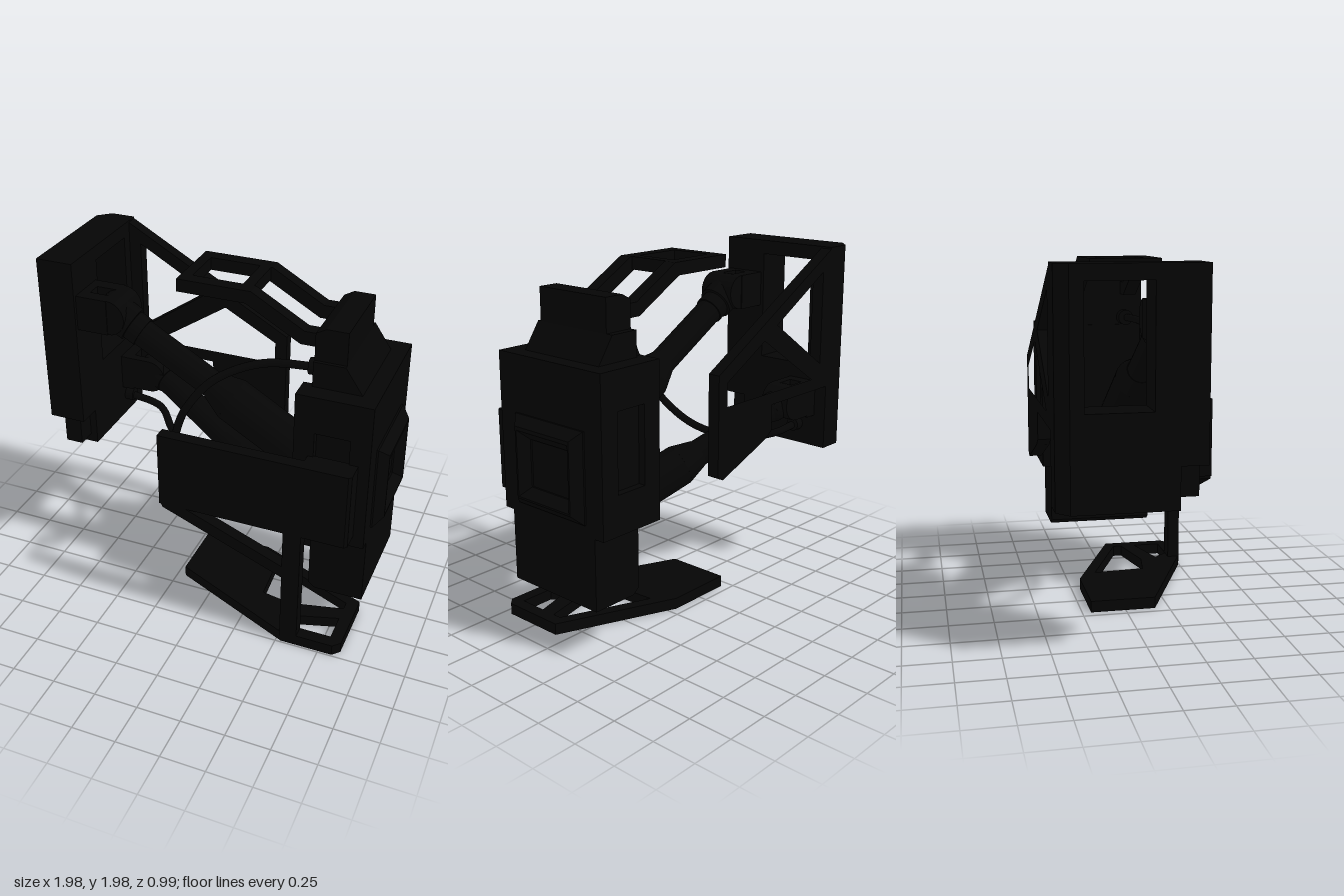
import * as THREE from 'three';

export function createModel() {
  const model = new THREE.Group();
  const black = new THREE.MeshStandardMaterial({ color: 0x050505 });
  black.name = 'matt black';

  const add = (name, geometry) => {
    const mesh = new THREE.Mesh(geometry, black);
    mesh.name = name;
    model.add(mesh);
    return mesh;
  };
  // Box given by its limits on each axis
  const box = (name, x0, x1, y0, y1, z0, z1) =>
    add(name, new THREE.BoxGeometry(x1 - x0, y1 - y0, z1 - z0)
      .translate((x0 + x1) / 2, (y0 + y1) / 2, (z0 + z1) / 2));
  const outline = (points, holes = []) => {
    const shape = new THREE.Shape(points.map(p => new THREE.Vector2(...p)));
    for (const h of holes) shape.holes.push(new THREE.Path(h.map(p => new THREE.Vector2(...p))));
    return shape;
  };
  // Upright plate: outline in x and y, thickness along z
  const plate = (name, points, z0, z1, holes) =>
    add(name, new THREE.ExtrudeGeometry(outline(points, holes), { depth: z1 - z0, bevelEnabled: false })
      .translate(0, 0, z0));
  // Flat plate: outline in x and z, thickness along y
  const flat = (name, points, y0, y1, holes = []) => {
    const turn = list => list.map(([x, z]) => [x, -z]);
    return add(name, new THREE.ExtrudeGeometry(outline(turn(points), holes.map(turn)),
      { depth: y1 - y0, bevelEnabled: false }).rotateX(-Math.PI / 2).translate(0, y0, 0));
  };
  // Cylinder from one point to another
  const rod = (name, a, b, r0, r1 = r0) => {
    const from = new THREE.Vector3(...a), to = new THREE.Vector3(...b);
    const dir = to.clone().sub(from);
    const mesh = add(name, new THREE.CylinderGeometry(r1, r0, dir.length(), 24));
    mesh.quaternion.setFromUnitVectors(new THREE.Vector3(0, 1, 0), dir.normalize());
    mesh.position.copy(from).add(to).multiplyScalar(0.5);
    return mesh;
  };
  const ball = (name, p, r) => add(name, new THREE.SphereGeometry(r, 24, 16).translate(...p));
  const rect = (x0, x1, y0, y1) => [[x0, y0], [x1, y0], [x1, y1], [x0, y1]];

  // Mounting bracket with an open slot
  box('bracketFrontColumn', -0.99, -0.78, 1.03, 2, -0.02, 0.25);
  box('bracketTopBar', -0.99, -0.78, 1.92, 2, -0.36, -0.02);
  box('bracketMiddle', -0.99, -0.78, 1.03, 1.3, -0.36, -0.02);
  box('bracketFoot', -0.99, -0.78, 0.81, 1.05, -0.36, 0.11);
  box('bracketSocket', -0.92, -0.82, 0.86, 1.05, 0.11, 0.22);
  flat('bracketBackColumn',
    [[-0.99, -0.36], [-0.78, -0.36], [-0.78, -0.495], [-0.92, -0.495], [-0.99, -0.43]], 0.81, 2);

  // Rear truss plate
  plate('rearTruss',
    [[-0.78, 1.99], [0.2, 1.44], [0.2, 0.88], [0.16, 0.86], [-0.2, 1.0], [-0.26, 1.04], [-0.26, 1.19], [-0.78, 1.19]],
    -0.495, -0.425,
    [[[-0.71, 1.87], [-0.71, 1.34], [-0.29, 1.63]],
      [[-0.63, 1.26], [-0.18, 1.56], [0.13, 1.39], [0.13, 1.26]]]);

  // Upper telescopic arm, straight along the front, on a forked mount
  for (const z of [0, 0.155])
    box('upperArmFork', -0.8, -0.6, 1.61, 1.81, z, z + 0.075);
  box('upperArmMount', -0.8, -0.73, 1.61, 1.81, 0, 0.23);
  rod('upperArmPin', [-0.6, 1.71, 0.005], [-0.6, 1.71, 0.225], 0.1);
  rod('upperArmKnuckle', [-0.62, 1.715, 0.12], [-0.5, 1.645, 0.12], 0.1);
  rod('upperArmPiston', [-0.55, 1.67, 0.12], [0.15, 1.265, 0.12], 0.077);
  rod('upperArmRing', [-0.5, 1.643, 0.12], [-0.44, 1.608, 0.12], 0.085);
  rod('upperArmTaper', [-0.03, 1.37, 0.12], [0.08, 1.305, 0.12], 0.08, 0.125);
  rod('upperArmSleeve', [0.08, 1.305, 0.12], [0.6, 1.0, 0.12], 0.125);

  // Lower telescopic arm, slanting from the rear of the bracket to the middle
  box('lowerArmMount', -0.8, -0.71, 1.0, 1.21, -0.42, -0.24);
  for (const z of [-0.42, -0.29])
    box('lowerArmFork', -0.74, -0.6, 1.01, 1.21, z, z + 0.05);
  rod('lowerArmPin', [-0.6, 1.11, -0.42], [-0.6, 1.11, -0.24], 0.1);
  ball('lowerArmBall', [-0.52, 1.085, -0.31], 0.085);
  rod('lowerArmKnuckle', [-0.61, 1.12, -0.34], [-0.5, 1.08, -0.3], 0.085);
  rod('lowerArmPiston', [-0.5, 1.08, -0.3], [0.1, 0.81, -0.08], 0.077);
  rod('lowerArmTaper', [-0.05, 0.878, -0.135], [0.06, 0.828, -0.095], 0.08, 0.118);
  rod('lowerArmSleeve', [0.06, 0.828, -0.095], [0.46, 0.645, 0.052], 0.118);
  rod('lowerArmCollar', [0.42, 0.66, 0.037], [0.57, 0.592, 0.092], 0.132);

  // Main housing: recessed side walls around a core
  box('housingCore', 0.57, 0.93, 0.71, 1.57, -0.33, 0.33);
  for (const s of [-1, 1]) {
    const [z0, z1] = s < 0 ? [-0.372, -0.33] : [0.33, 0.372];
    plate('housingSideFrame', rect(0.52, 0.93, 0.71, 1.57), z0, z1, [rect(0.63, 0.82, 0.93, 1.36)]);
    box('housingFlange', 0.52, 0.57, 0.71, 1.57, s < 0 ? -0.34 : 0.24, s < 0 ? -0.24 : 0.34);
  }
  plate('lowerHousing', [[0.66, 0.31], [0.93, 0.31], [0.93, 0.71], [0.62, 0.71], [0.62, 0.34]], -0.31, 0.31);
  box('armJointBlock', 0.5, 0.64, 0.5, 0.78, -0.06, 0.2);

  // Bevelled end frame with a square recess
  const endFrame = outline(rect(-0.25, 0.25, 0.77, 1.26), [rect(-0.14, 0.14, 0.88, 1.14)]);
  add('endFrame', new THREE.ExtrudeGeometry(endFrame, {
    depth: 0.01, bevelThickness: 0.05, bevelSize: 0.05, bevelOffset: -0.05, bevelSegments: 1,
  }).rotateY(Math.PI / 2).translate(0.93, 0, 0));

  // Shoulder and turret on top
  plate('shoulder', [[0.575, 1.57], [0.84, 1.57], [0.745, 1.71], [0.575, 1.71]], -0.27, 0.27);
  plate('turret', [[0.575, 1.71], [0.745, 1.71], [0.745, 1.89], [0.63, 1.89], [0.575, 1.86]], -0.23, 0.25);

  // Top loop handle
  for (const z of [-0.2, 0.12])
    plate('handleArm', [[-0.2, 1.925], [0.18, 1.925], [0.48, 1.755], [0.6, 1.755], [0.6, 1.83],
      [0.5, 1.83], [0.21, 1.995], [-0.2, 1.995]], z, z + 0.075);
  box('handleFrontBar', -0.2, -0.14, 1.925, 1.995, -0.13, 0.12);
  box('handleRearBar', 0.14, 0.2, 1.925, 1.995, -0.13, 0.12);

  // Side shield, its return to the housing, the brace below it and the support post
  flat('sideShield', [[-0.2, 0.42], [0.6, 0.42], [0.6, 0.36], [0.87, 0.36], [0.87, 0.475],
    [0.855, 0.49], [-0.2, 0.49]], 0.78, 1.22);
  plate('shieldBrace', [[-0.2, 0.8], [-0.18, 0.76], [0.53, 0.475], [0.53, 0.55], [-0.04, 0.78], [-0.04, 0.8]],
    0.42, 0.49);
  box('supportPost', 0.52, 0.62, 0.05, 0.8, 0.42, 0.49);

  // Footplate with two openings beside a slanting strut
  flat('footplate', [[-0.2, -0.2], [-0.2, 0.17], [0.53, 0.49], [0.83, 0.49], [0.87, 0.45], [0.87, 0.08], [0.2, -0.2]],
    0.02, 0.085,
    [[[0.3, -0.09], [0.32, 0.21], [0.5, 0.24], [0.8, 0.17], [0.8, 0.12]],
      [[0.53, 0.34], [0.6, 0.42], [0.8, 0.42], [0.8, 0.26]]]);

  // Hose from the shoulder down to the bracket
  const path = new THREE.CatmullRomCurve3([
    [0.6, 1.615, 0.14], [0.28, 1.605, 0.2], [0.05, 1.51, 0.3], [-0.08, 1.35, 0.36], [-0.18, 1.13, 0.29],
    [-0.27, 0.96, 0.1], [-0.4, 0.89, -0.1], [-0.55, 0.905, -0.27], [-0.79, 0.93, -0.3],
  ].map(p => new THREE.Vector3(...p)));
  add('hose', new THREE.TubeGeometry(path, 64, 0.022, 12));
  rod('hoseUpperFitting', [0.52, 1.615, 0.145], [0.6, 1.615, 0.14], 0.045);
  rod('hoseLowerFitting', [-0.8, 0.93, -0.3], [-0.73, 0.93, -0.3], 0.04);

  return model;
}
